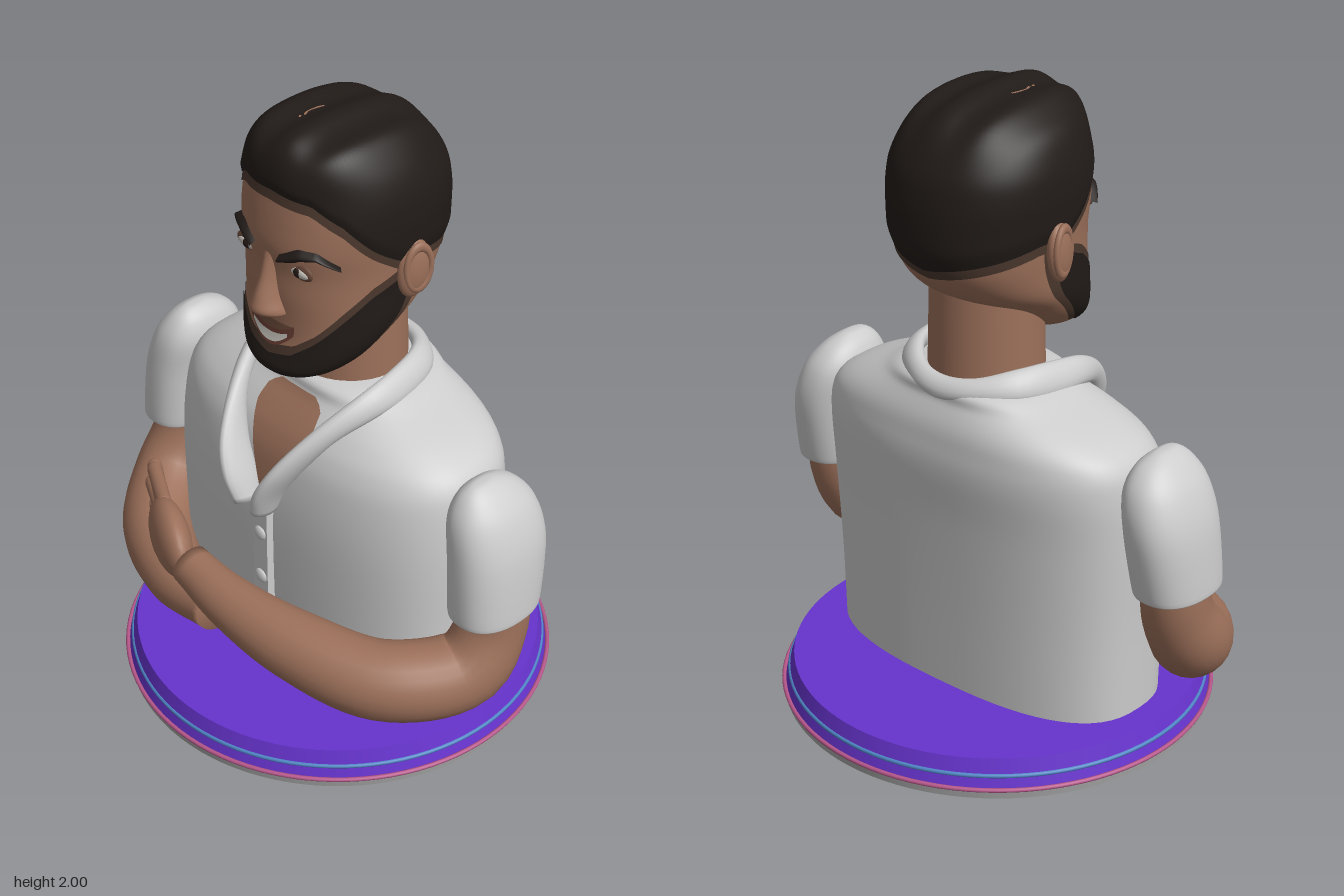
import * as THREE from 'three';
import { mergeVertices } from 'three/addons/utils/BufferGeometryUtils.js';

const { lerp } = THREE.MathUtils;
const V = (x, y, z) => new THREE.Vector3(x, y, z);
const SKIN = 0x9c705a, DARK = 0x211b18, STUBBLE = 0x4b382e, SHIRT = 0xcccccc;

// Smooth surface from a rule f(u, v) -> Vector3, seams welded
function grid(nu, nv, f) {
  const pos = [], index = [];
  for (let i = 0; i <= nu; i++)
    for (let j = 0; j <= nv; j++) pos.push(...f(i / nu, j / nv).toArray());
  for (let i = 0; i < nu; i++)
    for (let j = 0; j < nv; j++) {
      const a = i * (nv + 1) + j, c = a + nv + 1;
      index.push(a, a + 1, c, a + 1, c + 1, c);
    }
  let g = new THREE.BufferGeometry();
  g.setAttribute('position', new THREE.Float32BufferAttribute(pos, 3));
  g.setIndex(index);
  g = mergeVertices(g, 1e-5);
  g.computeVertexNormals();
  return g;
}

// Catmull-Rom interpolation of every column of a table, t in 0..1
function sample(table, t) {
  const n = table.length - 1, i = Math.min(Math.floor(t * n), n - 1), s = t * n - i;
  const at = (k) => table[Math.max(0, Math.min(n, k))];
  return table[0].map((_, k) => {
    const [a, b, c, d] = [-1, 0, 1, 2].map((o) => at(i + o)[k]);
    return b + 0.5 * s * (c - a + s * (2 * a - 5 * b + 4 * c - d + s * (3 * (b - c) + d - a)));
  });
}

// Piecewise linear curve through [x, y] pairs
function curve(pairs, x) {
  for (let i = 1; i < pairs.length; i++) {
    const [x0, y0] = pairs[i - 1], [x1, y1] = pairs[i];
    if (x <= x1) return lerp(y0, y1, Math.max(0, (x - x0) / (x1 - x0)));
  }
  return pairs[pairs.length - 1][1];
}

// Point on a stack of superellipse sections [y, halfWidth, zFront, zBack, xCentre]
function bodyPoint(table, n, t, a, off = 0) {
  const [y, w, zf, zb, cx] = sample(table, t);
  const p = (v) => Math.sign(v) * Math.pow(Math.abs(v), 2 / n);
  return V(cx + (Math.max(w, 0) + off) * p(Math.sin(a)), y,
    (zf + zb) / 2 + (Math.max((zf - zb) / 2, 0) + off) * p(Math.cos(a)));
}
function heightToT(table, y) {
  let lo = 0, hi = 1;
  for (let i = 0; i < 24; i++) {
    const m = (lo + hi) / 2;
    if (sample(table, m)[0] < y) lo = m; else hi = m;
  }
  return lo;
}
const loft = (table, n, nu = 48, nv = 64) =>
  grid(nu, nv, (u, v) => bodyPoint(table, n, u, (v - 0.5) * 2 * Math.PI));

// Layer lying on a stack between two heights that vary with the angle
const patch = (table, n, a0, a1, low, high, off, nu = 12, nv = 40) => grid(nu, nv, (u, v) => {
  const a = lerp(a0, a1, v);
  return bodyPoint(table, n, heightToT(table, lerp(low(a), high(a), u)), a, off);
});

// Limb along a path of [x, y, z, radius], with flat ends
function limb(points, nu = 40, nv = 24) {
  const path = new THREE.CatmullRomCurve3(points.map((p) => V(p[0], p[1], p[2])));
  const fr = path.computeFrenetFrames(nu, false);
  return grid(nu + 2, nv, (u, v) => {
    const k = Math.round(u * (nu + 2)), i = Math.min(Math.max(k - 1, 0), nu), a = v * 2 * Math.PI;
    const r = k === 0 || k === nu + 2 ? 0 : sample(points, i / nu)[3];
    return path.getPoint(i / nu === 0 ? 0 : path.getUtoTmapping(i / nu))
      .addScaledVector(fr.normals[i], r * Math.cos(a)).addScaledVector(fr.binormals[i], r * Math.sin(a));
  });
}

const TORSO = [
  [0.1, 0.57, 0.29, -0.28, 0], [0.4, 0.575, 0.3, -0.29, 0], [0.7, 0.585, 0.3, -0.305, 0],
  [0.88, 0.58, 0.28, -0.32, 0], [0.97, 0.555, 0.25, -0.315, 0], [1.03, 0.48, 0.21, -0.305, 0],
  [1.09, 0.34, 0.16, -0.28, 0], [1.14, 0.21, 0.13, -0.255, 0], [1.15, 0, -0.05, -0.05, 0]];
const HEAD = [
  [1.21, 0, 0.19, 0.19, 0], [1.22, 0.09, 0.265, 0.1, 0], [1.25, 0.155, 0.285, 0.04, 0],
  [1.3, 0.205, 0.275, -0.04, 0], [1.36, 0.235, 0.265, -0.13, 0], [1.42, 0.25, 0.265, -0.235, 0],
  [1.5, 0.255, 0.27, -0.305, 0], [1.58, 0.26, 0.27, -0.33, 0], [1.66, 0.265, 0.28, -0.335, 0],
  [1.74, 0.268, 0.272, -0.33, 0], [1.82, 0.258, 0.258, -0.31, 0], [1.9, 0.225, 0.245, -0.255, 0],
  [1.95, 0.175, 0.215, -0.18, 0], [1.977, 0.1, 0.16, -0.06, 0], [1.985, 0, 0.06, 0.06, 0]];
const NOSE = [
  [1.42, 0.02, 0.28, 0.2, 0], [1.435, 0.055, 0.31, 0.2, 0], [1.455, 0.055, 0.335, 0.2, 0],
  [1.49, 0.042, 0.328, 0.2, 0], [1.55, 0.03, 0.305, 0.2, 0], [1.61, 0.028, 0.287, 0.2, 0], [1.66, 0.035, 0.27, 0.2, 0]];
const sleeveTable = (s) => [
  [0.6, 0.69, 0.105, 0.16, -0.125], [0.61, 0.69, 0.112, 0.17, -0.135], [0.8, 0.675, 0.112, 0.165, -0.165],
  [0.92, 0.65, 0.1, 0.15, -0.15], [0.99, 0.635, 0.065, 0.115, -0.1], [1.025, 0.63, 0.025, 0.07, -0.03],
  [1.03, 0.63, 0, 0.02, 0.02]].map(([y, cx, w, f, b]) => [y, w, f, b, s * cx]);

export function createModel() {
  const model = new THREE.Group();
  const add = (name, geometry, color, position, side = THREE.FrontSide) => {
    const mesh = new THREE.Mesh(geometry, new THREE.MeshStandardMaterial({ color, side }));
    mesh.name = name;
    if (position) mesh.position.set(...position);
    model.add(mesh);
    return mesh;
  };
  const ball = (name, color, position, scale) =>
    add(name, new THREE.SphereGeometry(1, 24, 16), color, position).scale.set(...scale) && model.children.at(-1);

  // Round base with coloured rings
  add('baseFoot', new THREE.CylinderGeometry(0.685, 0.68, 0.03, 96), 0xaaaaaa, [0, 0.015, 0]);
  add('basePlate', new THREE.CylinderGeometry(0.648, 0.676, 0.09, 96), 0x6633cc, [0, 0.075, 0]);
  for (const [name, r, y, color] of [['pinkRing', 0.682, 0.03, 0xb8588c], ['blueRing', 0.662, 0.068, 0x4f86c6]])
    add(name, new THREE.TorusGeometry(r, 0.007, 8, 96), color, [0, y, 0]).rotation.x = Math.PI / 2;

  // Shirt body, button strip and open neckline
  add('shirt', loft(TORSO, 2.6), SHIRT);
  add('placket', new THREE.BoxGeometry(0.06, 0.61, 0.035), SHIRT, [0, 0.42, 0.31]);
  for (const y of [0.13, 0.29, 0.46, 0.63]) ball('button', SHIRT, [0, y, 0.327], [0.025, 0.025, 0.012]);
  add('chestSkin', grid(24, 12, (u, v) => {
    const y = lerp(0.74, 1.1, u), t = heightToT(TORSO, y);
    const half = curve([[0, 0.015], [0.8, 0.12], [0.93, 0.11], [1, 0.07]], u);
    const a = Math.asin(Math.pow(half / sample(TORSO, t)[1], 1.3));
    return bodyPoint(TORSO, 2.6, t, lerp(-a, a, v), 0.006);
  }), SKIN);

  // Collar: a padded band between its free edge and the edge on the shirt
  const band = (half) => new THREE.CatmullRomCurve3(
    [...half, ...half.slice(0, -1).reverse().map(([x, y, z]) => [-x, y, z])].map((p) => V(...p)));
  const free = band([[0.035, 0.76, 0.395], [0.065, 0.85, 0.41], [0.11, 0.95, 0.38], [0.175, 1.08, 0.26],
    [0.22, 1.165, 0.12], [0.22, 1.19, 0], [0.185, 1.195, -0.13], [0.1, 1.17, -0.215], [0, 1.16, -0.24]]);
  const sewn = band([[0.035, 0.745, 0.29], [0.065, 0.82, 0.28], [0.125, 0.92, 0.26], [0.2, 1.03, 0.2],
    [0.26, 1.09, 0.09], [0.265, 1.1, -0.02], [0.225, 1.115, -0.17], [0.1, 1.11, -0.26], [0, 1.1, -0.28]]);
  add('collar', grid(82, 16, (u, v) => {
    const t = Math.min(Math.max((u * 82 - 1) / 80, 0), 1), size = u === 0 || u === 1 ? 0 : 1;
    const p = free.getPoint(t), q = sewn.getPoint(t), arm = q.clone().sub(p).multiplyScalar(0.5);
    const thick = free.getTangent(t).cross(arm).normalize().multiplyScalar(0.026);
    return p.add(q).multiplyScalar(0.5).addScaledVector(arm, size * Math.cos(v * 2 * Math.PI))
      .addScaledVector(thick, size * Math.sin(v * 2 * Math.PI));
  }), SHIRT, null, THREE.DoubleSide);

  // Sleeves and crossed arms
  for (const s of [1, -1])
    add(s > 0 ? 'leftSleeve' : 'rightSleeve', loft(sleeveTable(s), 2.3, 30, 40), SHIRT, null, THREE.DoubleSide);
  add('leftArm', limb([[0.69, 0.75, 0.01, 0.1], [0.69, 0.52, 0.02, 0.108], [0.672, 0.385, 0.11, 0.124],
    [0.53, 0.37, 0.32, 0.122], [0.26, 0.405, 0.43, 0.11], [0, 0.44, 0.465, 0.087], [-0.19, 0.465, 0.455, 0.066]]), SKIN);
  add('rightArm', limb([[-0.69, 0.75, 0.01, 0.1], [-0.69, 0.52, 0.02, 0.108], [-0.675, 0.37, 0.11, 0.125],
    [-0.56, 0.3, 0.27, 0.118], [-0.36, 0.27, 0.37, 0.1], [-0.13, 0.285, 0.4, 0.077]]), SKIN);

  // Hand resting on the other arm
  ball('palm', SKIN, [-0.32, 0.475, 0.42], [0.155, 0.112, 0.06]).rotation.y = -0.45;
  const finger = (name, a, b, r) => {
    const from = V(...a), to = V(...b), dir = to.clone().sub(from);
    add(name, new THREE.CapsuleGeometry(r, dir.length(), 6, 14), SKIN, from.clone().add(to).multiplyScalar(0.5).toArray())
      .quaternion.setFromUnitVectors(V(0, 1, 0), dir.normalize());
  };
  for (const [y0, x1, y1, z1] of [[0.545, -0.57, 0.52, 0.27], [0.505, -0.625, 0.48, 0.225],
    [0.465, -0.61, 0.435, 0.25], [0.425, -0.55, 0.4, 0.29]])
    finger('finger', [-0.4, y0, 0.375], [x1, y1, z1], 0.024);
  finger('thumb', [-0.24, 0.42, 0.44], [-0.32, 0.39, 0.43], 0.03);

  // Neck and head
  const neck = add('neck', new THREE.CylinderGeometry(0.172, 0.182, 0.38, 48), SKIN, [0, 1.27, -0.05]);
  neck.scale.z = 0.97;
  add('head', loft(HEAD, 2.2, 64, 64), SKIN);
  add('nose', loft(NOSE, 2, 28, 28), SKIN);

  // Hair with a faded edge, swept into soft ridges on top
  const hairline = (a) => curve([[0, 1.835], [0.5, 1.825], [0.85, 1.765], [1.2, 1.67], [1.5, 1.6],
    [1.8, 1.6], [2.2, 1.575], [3.15, 1.52]], Math.abs(a));
  add('hairFade', patch(HEAD, 2.2, -Math.PI, Math.PI, (a) => hairline(a) - 0.03, (a) => hairline(a) + 0.02, 0.004, 4, 80), STUBBLE);
  add('hair', grid(36, 96, (u, v) => {
    const a = (v - 0.5) * 2 * Math.PI, t0 = heightToT(HEAD, hairline(a));
    const p = bodyPoint(HEAD, 2.2, lerp(t0, 1, u), a, 0.014 * Math.min(1, u * 8 + 0.4) * Math.min(1, (1 - u) * 6));
    const top = THREE.MathUtils.smoothstep(p.y, 1.8, 1.97);
    p.y += top * (0.007 + 0.008 * Math.cos((p.x - 0.02) * 42));
    return p;
  }), DARK);

  // Beard over softer stubble
  const beardTop = (a) => curve([[0, 1.29], [0.35, 1.31], [0.6, 1.36], [0.9, 1.44], [1.2, 1.51], [1.6, 1.56]], Math.abs(a));
  const jaw = (a) => curve([[0, 1.215], [1.2, 1.215], [1.65, 1.27]], Math.abs(a));
  add('stubble', patch(HEAD, 2.2, -1.75, 1.75, jaw, (a) => beardTop(a) + 0.03, 0.003, 16, 64), STUBBLE);
  add('beard', patch(HEAD, 2.2, -1.62, 1.62, jaw, beardTop, 0.006, 16, 64), DARK);

  // Smiling mouth and moustache shadow
  const smile = (a) => 1.345 + 0.42 * a * a;
  add('moustache', patch(HEAD, 2.2, -0.36, 0.36, (a) => smile(a) + 0.02, () => 1.405, 0.005, 4, 24), 0x74513f);
  add('lips', patch(HEAD, 2.2, -0.33, 0.33, (a) => smile(a) - 0.024 + 0.1 * a * a, (a) => smile(a) + 0.032 - 0.1 * a * a, 0.009, 4, 24), 0x6e4136);
  add('teeth', patch(HEAD, 2.2, -0.25, 0.25, (a) => smile(a) - 0.012 + 0.15 * a * a, (a) => smile(a) + 0.02 - 0.15 * a * a, 0.012, 4, 24), 0xd8d4cc);

  for (const s of [1, -1]) {
    // Eyes, brows and ears
    ball('eyelid', 0x6b4a3b, [s * 0.108, 1.607, 0.248], [0.05, 0.028, 0.012]);
    ball('eyeWhite', 0xc9c4bd, [s * 0.108, 1.605, 0.252], [0.04, 0.017, 0.013]);
    ball('iris', 0x2a1d17, [s * 0.106, 1.605, 0.26], [0.015, 0.015, 0.007]);
    const arch = (a) => curve([[0.16, 1.635], [0.4, 1.665], [0.6, 1.668], [0.85, 1.63]], Math.abs(a));
    const half = (a) => curve([[0.16, 0.014], [0.35, 0.022], [0.85, 0.005]], Math.abs(a));
    const [a0, a1] = s > 0 ? [0.16, 0.85] : [-0.85, -0.16];
    add('eyebrow', grid(8, 24, (u, v) => {
      const a = lerp(a0, a1, v), y = arch(a) + (u * 2 - 1) * half(a);
      return bodyPoint(HEAD, 2.2, heightToT(HEAD, y), a, 0.02 * Math.sin(u * Math.PI));
    }), DARK);
    const ear = ball('ear', SKIN, [s * 0.272, 1.565, -0.04], [0.03, 0.095, 0.055]);
    ear.rotation.set(-0.1, s * -0.2, 0);
    const rim = add('earRim', new THREE.TorusGeometry(0.042, 0.01, 10, 28), SKIN, [s * 0.289, 1.572, -0.043]);
    rim.rotation.y = Math.PI / 2 - s * 0.2;
    rim.scale.y = 1.65;
  }
  return model;
}
